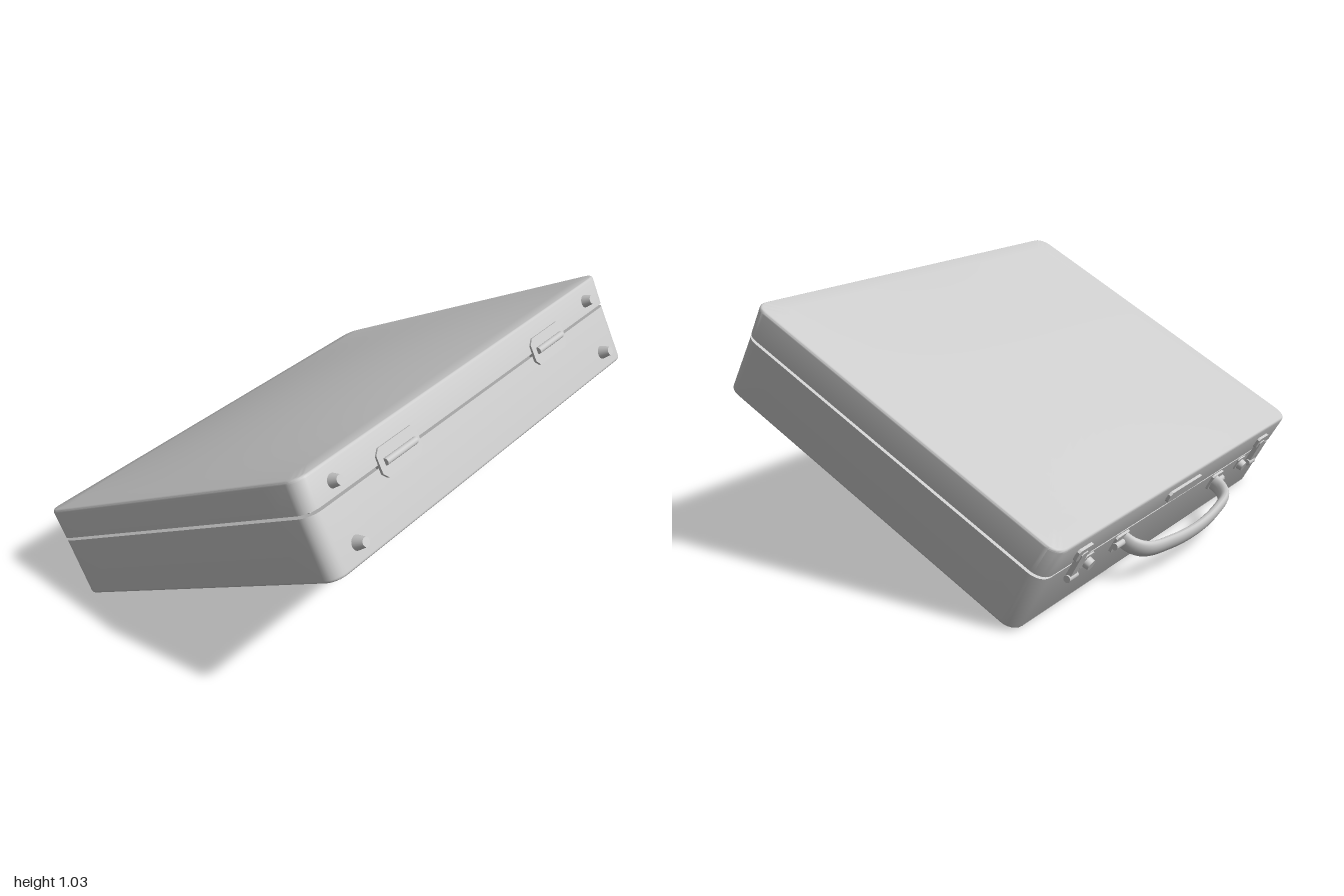
import * as THREE from 'three';
import { toCreasedNormals } from 'three/addons/utils/BufferGeometryUtils.js';

const material = new THREE.MeshStandardMaterial({ color: 0xcccccc });
const TILT = THREE.MathUtils.degToRad(28.1);
const SEAM = 0.5, FRONT = 0.745, BACK = -0.745;

function add(parent, name, geometry, x = 0, y = 0, z = 0) {
  const mesh = new THREE.Mesh(geometry, material);
  mesh.name = name;
  mesh.position.set(x, y, z);
  parent.add(mesh);
  return mesh;
}

// Rounded rectangle in plan, with its long sides subdivided
function planLoop(hx, hz, r) {
  const corners = [[1, 1], [-1, 1], [-1, -1], [1, -1]];
  const arcs = corners.map(([sx, sz], k) => Array.from({ length: 7 }, (_, i) => {
    const a = (k + i / 6) * Math.PI / 2;
    return [sx * (hx - r) + r * Math.cos(a), sz * (hz - r) + r * Math.sin(a)];
  }));
  const points = [];
  arcs.forEach((arc, k) => {
    points.push(...arc);
    const a = arc[6], b = arcs[(k + 1) % 4][0];
    for (let i = 1; i < 12; i++) {
      const t = i / 12;
      points.push([a[0] + (b[0] - a[0]) * t, a[1] + (b[1] - a[1]) * t]);
    }
  });
  return points;
}

// Half of the case: flat at the seam, straight walls, softened rim, domed face
function shell(seamY, rimY, seamDepth, rimDepth) {
  const dir = Math.sign(rimY - seamY), dome = 0.04, soft = 0.012;
  const rings = [];
  const wall = (hz, inset, y) => rings.push(
    planLoop(1 - inset, hz - inset, 0.06 - inset).map(([x, z]) => [x, y, z]));
  rings.push(planLoop(1, seamDepth, 0.06).map(() => [0, seamY, 0]));
  wall(seamDepth, 0, seamY);
  for (let i = 0; i <= 4; i++) {
    const a = i / 4 * Math.PI / 2;
    wall(rimDepth, soft * (1 - Math.cos(a)), rimY - dir * soft * (1 - Math.sin(a)));
  }
  const hx = 1 - soft, hz = rimDepth - soft;
  const edge = planLoop(hx, hz, 0.06 - soft);
  for (let i = 1; i <= 12; i++) {
    const s = 1 - i / 12;
    rings.push(edge.map(([x, z]) => {
      const u = x * s / hx, v = z * s / hz;
      return [x * s, rimY + dir * dome * (1 - u * u) * (1 - v * v), z * s];
    }));
  }
  const n = edge.length, index = [];
  for (let i = 0; i < rings.length - 1; i++) {
    for (let j = 0; j < n; j++) {
      const a = i * n + j, b = i * n + (j + 1) % n, c = b + n, d = a + n;
      if (dir > 0) index.push(a, d, b, b, d, c);
      else index.push(a, b, d, b, c, d);
    }
  }
  const g = new THREE.BufferGeometry();
  g.setAttribute('position', new THREE.Float32BufferAttribute(rings.flat(2), 3));
  g.setIndex(index);
  return toCreasedNormals(g, 0.6);
}

// Thin plate with cut corners, lying in xy and centred
function plate(w, h, depth, cut) {
  const x = w / 2, y = h / 2;
  const shape = new THREE.Shape([
    [-x + cut, -y], [x - cut, -y], [x, -y + cut], [x, y - cut],
    [x - cut, y], [-x + cut, y], [-x, y - cut], [-x, -y + cut],
  ].map(p => new THREE.Vector2(...p)));
  return new THREE.ExtrudeGeometry(shape, { depth, bevelEnabled: false }).translate(0, 0, -depth / 2);
}

const rod = (r, length) => new THREE.CylinderGeometry(r, r, length, 16).rotateZ(Math.PI / 2);

function makeHinge(x) {
  const hinge = new THREE.Group();
  hinge.name = 'hinge';
  hinge.position.set(x, SEAM + 0.005, FRONT);
  add(hinge, 'hingePlate', plate(0.235, 0.112, 0.024, 0.022));
  add(hinge, 'hingePin', rod(0.014, 0.18), 0, 0, 0.015);
  return hinge;
}

function makeLatch(side) {
  const latch = new THREE.Group();
  latch.name = 'latch';
  latch.position.set(side * 0.78, SEAM, BACK);
  add(latch, 'latchPlate', plate(0.1, 0.05, 0.024, 0.008), 0, 0.055, -0.006);
  add(latch, 'latchHasp', plate(0.045, 0.13, 0.02, 0.008), 0, -0.005, -0.012);
  add(latch, 'latchHook', rod(0.014, 0.06), 0, -0.06, -0.016);
  // Round release button beside the hasp
  add(latch, 'latchButton', new THREE.CylinderGeometry(0.022, 0.026, 0.04, 16).rotateX(-Math.PI / 2),
    -side * 0.11, -0.045, -0.01);
  add(latch, 'buttonPlate', plate(0.07, 0.06, 0.014, 0.008), -side * 0.11, -0.04, 0);
  return latch;
}

function makeHandle() {
  const handle = new THREE.Group();
  handle.name = 'handle';
  handle.position.y = 0.45;
  const half = [[0.395, -0.735], [0.392, -0.79], [0.35, -0.835], [0.2, -0.868]];
  const path = [...half, [0, -0.882], ...half.map(([x, z]) => [-x, z]).reverse()];
  const curve = new THREE.CatmullRomCurve3(path.map(([x, z]) => new THREE.Vector3(x, 0, z)));
  const grip = new THREE.TubeGeometry(curve, 64, 0.02, 16).scale(1, 1.8, 1);
  grip.computeVertexNormals();
  add(handle, 'grip', grip);
  for (const s of [-1, 1]) {
    add(handle, 'handleMount', plate(0.1, 0.075, 0.022, 0.008), s * 0.42, 0, BACK);
    add(handle, 'handlePin', rod(0.014, 0.07), s * 0.44, 0, BACK - 0.015);
  }
  return handle;
}

export function createModel() {
  const root = new THREE.Group();
  root.name = 'briefcase';
  const body = new THREE.Group();
  body.name = 'tiltedCase';
  body.rotation.x = -TILT;
  body.position.set(0, 0.27 * Math.sin(TILT), 0.27 * Math.cos(TILT));
  root.add(body);

  // Two halves with a narrow gap around an inner rim
  add(body, 'lid', shell(SEAM + 0.006, 0.632, 0.748, 0.753));
  add(body, 'base', shell(SEAM - 0.006, 0.25, 0.746, 0.743));
  add(body, 'innerRim', new THREE.BoxGeometry(1.92, 0.03, 1.41), 0, SEAM, 0);

  // Front edge: hinges and tapered feet
  for (const s of [-1, 1]) {
    body.add(makeHinge(s * 0.51));
    for (const y of [0.325, 0.558]) {
      add(body, 'foot', new THREE.CylinderGeometry(0.018, 0.029, 0.05, 20).rotateX(Math.PI / 2),
        s * 0.85, y, FRONT + 0.018);
    }
    body.add(makeLatch(s));
  }

  // Back edge: carrying handle and small blank plate on the lid
  body.add(makeHandle());
  add(body, 'lidPlate', plate(0.28, 0.05, 0.02, 0.012), 0, 0.563, BACK - 0.008);
  return root;
}
